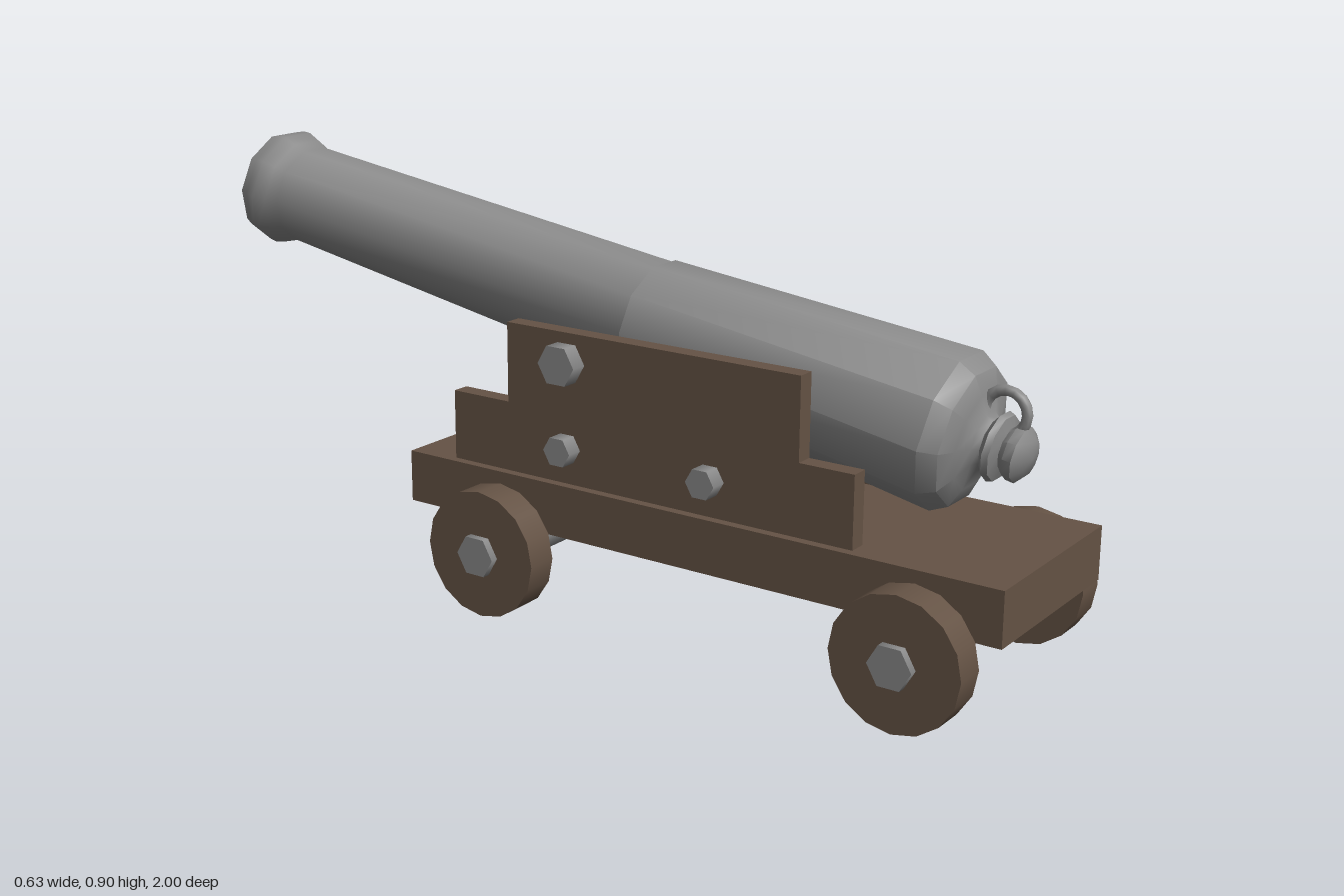
import * as THREE from 'three';
import { toCreasedNormals } from 'three/addons/utils/BufferGeometryUtils.js';

export function createModel() {
  const model = new THREE.Group();
  model.name = 'cannon';
  const wood = new THREE.MeshStandardMaterial({ name: 'dark wood', color: 0x655345 });
  const iron = new THREE.MeshStandardMaterial({ name: 'grey iron', color: 0x8a8a8a });

  const add = (name, geometry, material, x, y, z) => {
    const mesh = new THREE.Mesh(geometry, material);
    mesh.name = name;
    mesh.position.set(x, y, z);
    model.add(mesh);
    return mesh;
  };
  // Cylinder lying across the carriage
  const rod = (name, r, length, sides, material, x, y, z) =>
    add(name, new THREE.CylinderGeometry(r, r, length, sides).rotateZ(Math.PI / 2), material, x, y, z);

  // Carriage bed
  add('bed', new THREE.BoxGeometry(0.425, 0.112, 1.395), wood, 0.002, 0.235, 0.3025);

  // Stepped side cheeks, drawn in the (-z, y) plane and turned to face sideways
  const outline = [
    [-0.68, 0.29], [0.285, 0.29], [0.285, 0.44], [0.14, 0.44],
    [0.14, 0.61], [-0.56, 0.61], [-0.56, 0.44], [-0.68, 0.44],
  ].map(([a, b]) => new THREE.Vector2(a, b));
  const cheek = new THREE.ExtrudeGeometry(new THREE.Shape(outline), { depth: 0.038, bevelEnabled: false });
  cheek.translate(0, 0, -0.019).rotateY(Math.PI / 2);
  add('leftCheek', cheek, wood, 0.186, 0, 0);
  add('rightCheek', cheek, wood, -0.172, 0, 0);

  // Axles and wheels
  for (const [end, z] of [['front', 0.83], ['back', -0.136]]) {
    rod(end + 'Axle', 0.046, 0.626, 6, iron, -0.001, 0.136, z);
    rod(end + 'LeftWheel', 0.136, 0.07, 16, wood, 0.262, 0.136, z);
    rod(end + 'RightWheel', 0.136, 0.07, 16, wood, -0.262, 0.136, z);
  }

  // Trunnion and the two cross bolts
  rod('trunnion', 0.045, 0.473, 6, iron, 0.009, 0.548, 0.012);
  rod('backBolt', 0.033, 0.473, 6, iron, 0.009, 0.367, 0.012);
  rod('frontBolt', 0.033, 0.473, 6, iron, 0.009, 0.367, 0.36);

  // Barrel profile: knob, breech, two tapering lengths, flared muzzle, bore
  const profile = [
    [0, -0.16], [0.035, -0.156], [0.055, -0.14], [0.054, -0.122], [0.04, -0.108],
    [0.066, -0.1], [0.07, -0.088], [0.05, -0.074], [0.06, -0.062], [0.1, -0.05],
    [0.14, -0.034], [0.16, 0],
    [0.131, 0.7], [0.126, 0.702],
    [0.111, 1.685], [0.122, 1.712], [0.132, 1.742], [0.131, 1.762], [0.122, 1.786],
    [0.088, 1.786], [0.08, 1.775], [0.08, 1.4], [0, 1.4],
  ].map(([r, s]) => new THREE.Vector2(r, s));
  const barrelGeometry = toCreasedNormals(new THREE.LatheGeometry(profile, 10, Math.PI / 2), 0.75);
  const barrel = add('barrel', barrelGeometry, iron, 0.012, 0.4925, 0.781);
  barrel.rotation.x = THREE.MathUtils.degToRad(9.26 - 90);

  // Rope ring above the knob
  add('breechRing', new THREE.TorusGeometry(0.043, 0.011, 8, 16).rotateY(Math.PI / 2), iron, 0.01, 0.547, 0.882);

  return model;
}
